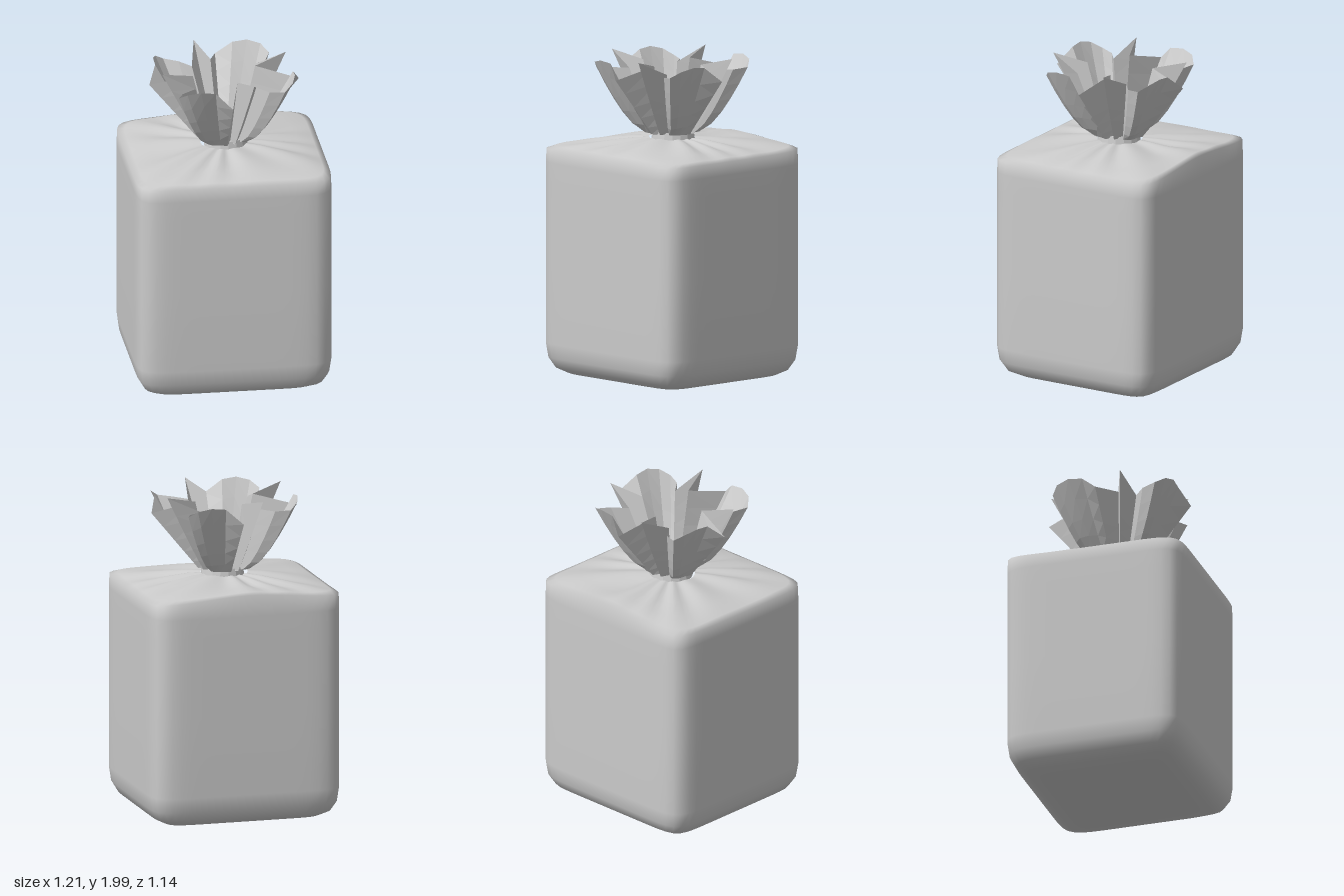
import * as THREE from 'three';

const grey = (extra = {}) => new THREE.MeshStandardMaterial({ color: 0xcccccc, ...extra });

// Skin a stack of closed rings, each an array of [x, y, z], listed bottom to top
function loft(rings) {
  const n = rings[0].length, index = [];
  for (let j = 0; j < rings.length - 1; j++) {
    for (let i = 0; i < n; i++) {
      const a = j * n + i, b = j * n + (i + 1) % n;
      index.push(a, a + n, b, b, a + n, b + n);
    }
  }
  const geo = new THREE.BufferGeometry();
  geo.setAttribute('position', new THREE.Float32BufferAttribute(rings.flat(2), 3));
  geo.setIndex(index);
  geo.computeVertexNormals();
  return geo;
}

// Soft square bag: [height, scale, squareness, wrinkle] from the base to the gathered top
function createBag() {
  const HX = 0.605, HZ = 0.57, N = 96;
  const profile = [
    [0, 0.001, 10, 0], [0, 0.7, 10, 0], [0.012, 0.82, 10, 0], [0.045, 0.92, 10, 0],
    [0.11, 0.98, 10, 0], [0.2, 1, 10, 0], [0.7, 1, 10, 0], [1.2, 1, 10, 0],
    [1.32, 1, 10, 0], [1.4, 0.995, 10, 0], [1.418, 0.93, 9, 0.002], [1.438, 0.75, 7, 0.006],
    [1.456, 0.55, 5, 0.01], [1.472, 0.37, 3, 0.008], [1.478, 0.24, 2, 0.003]
  ];
  const rings = profile.map(([y, s, n, wrinkle]) => Array.from({ length: N }, (_, i) => {
    const a = i / N * Math.PI * 2, c = Math.cos(a), d = Math.sin(a);
    const r = s * Math.pow(Math.abs(c / HX) ** n + Math.abs(d / HZ) ** n, -1 / n);
    // The rear top edge is puffed up a little
    const puff = y > 1.39 && s > 0.5 ? 0.05 * Math.max(0, -d) ** 4 * Math.min(1, (s - 0.5) * 2) : 0;
    return [r * c, y + puff + wrinkle * Math.sin(a * 12 + 2 * Math.sin(a * 3)), r * d];
  }));
  return loft(rings);
}

// Pleated ruffle: a quarter of the rim as [x, z, height, bulge], repeated four times
function createRuffle() {
  const quarter = [
    [0.46, 0.01, 1.87, 1], [0.41, 0.11, 1.96, 0.9], [0.41, 0.2, 1.97, 0.8], [0.385, 0.28, 1.95, 0.7],
    [0.33, 0.325, 1.91, 0.65], [0.24, 0.29, 1.9, 0.7], [0.17, 0.2, 1.9, 0.9],
    [0.13, 0.4, 1.99, 0.95], [0.055, 0.2, 1.94, 1]
  ];
  const rim = [];
  for (let q = 0; q < 4; q++) {
    const a = q * Math.PI / 2, c = Math.round(Math.cos(a)), s = Math.round(Math.sin(a));
    for (const [x, z, y, bulge] of quarter) {
      rim.push({ x: x * c - z * s, z: x * s + z * c, y, bulge });
    }
  }
  const rings = [0, 0.12, 0.3, 0.5, 0.75, 1].map(t => rim.map(p => {
    const top = Math.hypot(p.x, p.z), low = 0.04 + 0.27 * top;
    const r = (low + (top - low) * t ** p.bulge) / top;
    return [p.x * r, 1.51 + (p.y - 1.51) * t, p.z * r];
  }));
  // Tuck the lower edge into the neck
  rings.unshift(rim.map(p => {
    const r = 0.11 / Math.hypot(p.x, p.z);
    return [p.x * r, 1.5, p.z * r];
  }));
  return loft(rings);
}

export function createModel() {
  const group = new THREE.Group();
  const add = (name, geometry, material) => {
    const mesh = new THREE.Mesh(geometry, material);
    mesh.name = name;
    group.add(mesh);
    return mesh;
  };
  add('bag', createBag(), grey());
  add('neck', new THREE.CylinderGeometry(0.125, 0.135, 0.06, 16), grey({ flatShading: true }))
    .position.set(0.01, 1.49, 0);
  add('ruffle', createRuffle(), grey({ flatShading: true, side: THREE.DoubleSide }));
  return group;
}
